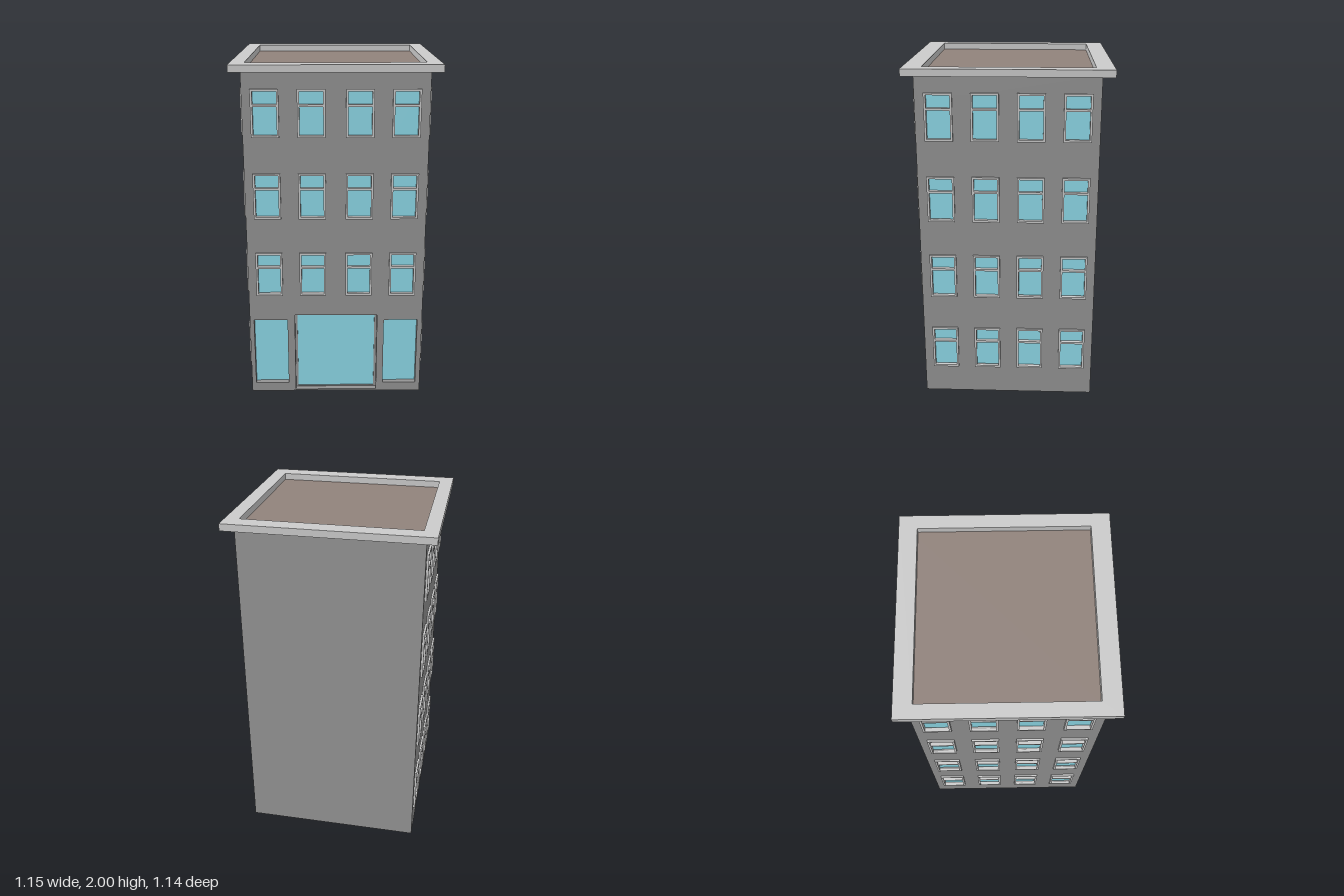
import * as THREE from 'three';

const mat = (color) => new THREE.MeshStandardMaterial({ color });
const wallMat = mat(0x949494), trimMat = mat(0xcccccc), glassMat = mat(0x8edae9), roofMat = mat(0x91837c);

// Rectangles are [x0, y0, x1, y1]
function trace(path, [x0, y0, x1, y1]) {
  path.moveTo(x0, y0);
  path.lineTo(x1, y0);
  path.lineTo(x1, y1);
  path.lineTo(x0, y1);
  path.closePath();
  return path;
}

// Flat panel with rectangular openings, from z0 to z1
function panel(name, rect, holes, z0, z1, material) {
  const shape = trace(new THREE.Shape(), rect);
  for (const h of holes) shape.holes.push(trace(new THREE.Path(), h));
  const geo = new THREE.ExtrudeGeometry(shape, { depth: z1 - z0, bevelEnabled: false });
  geo.translate(0, 0, z0);
  const mesh = new THREE.Mesh(geo, material);
  mesh.name = name;
  return mesh;
}

const W = 0.155, H = 0.268, BAR = 0.012;
const floors = [0.307, 0.781, 1.257, 1.73];

const opening = (x, y) =>
  [x - W / 2 + BAR, y - H / 2 + BAR, x + W / 2 - BAR, y + H / 2 - BAR];

// Framed window with a transom; the wall face lies at z = 0
function makeWindow(x, y) {
  const g = new THREE.Group();
  g.name = 'window';
  const [x0, y0, x1, y1] = opening(0, 0);
  const split = y1 - 0.072;
  g.add(panel('windowFrame', [-W / 2, -H / 2, W / 2, H / 2],
    [[x0, y0, x1, split - BAR], [x0, split, x1, y1]], -0.01, 0.012, trimMat));
  g.add(panel('windowPane', [x0, y0, x1, y1], [], -0.017, -0.012, glassMat));
  g.position.set(x, y, 0);
  return g;
}

// Wall facing +z with a grid of windows and any further openings
function makeWall(name, rect, columns, rows, extraHoles, thickness) {
  const g = new THREE.Group();
  g.name = name;
  const holes = [...extraHoles];
  for (const y of rows) for (const x of columns) {
    holes.push(opening(x, y));
    g.add(makeWindow(x, y));
  }
  g.add(panel(name + 'Panel', rect, holes, -thickness, 0, wallMat));
  return g;
}

export function createModel() {
  const model = new THREE.Group();
  model.name = 'building';

  // Solid core and back wall
  const core = new THREE.Mesh(new THREE.BoxGeometry(0.99, 1.95, 0.97), wallMat);
  core.name = 'core';
  core.position.set(0, 0.975, -0.02);
  model.add(core);

  // Front wall with shop windows and entrance
  const door = [-0.246, 0.01, 0.246, 0.515];
  const shops = [[-0.49, 0.055, -0.29, 0.482], [0.287, 0.055, 0.487, 0.482]];
  const front = makeWall('frontWall', [-0.495, 0, 0.495, 1.96],
    [-0.39, -0.135, 0.133, 0.388], floors.slice(1), [door, ...shops], 0.045);
  for (const s of shops) front.add(panel('shopWindow', s, [], -0.044, -0.033, glassMat));
  const doorGlass = [-0.232, 0.016, 0.232, 0.497];
  front.add(panel('entranceFrame', door, [doorGlass], -0.045, -0.034, wallMat));
  front.add(panel('entranceGlass', doorGlass, [], -0.045, -0.041, glassMat));
  front.position.z = 0.51;
  model.add(front);

  // Side walls
  for (const side of [-1, 1]) {
    const wall = makeWall(side > 0 ? 'leftWall' : 'rightWall',
      side > 0 ? [-0.51, 0, 0.505, 1.96] : [-0.505, 0, 0.51, 1.96],
      [-0.381, -0.127, 0.127, 0.381], floors, [], 0.02);
    wall.rotation.y = side * Math.PI / 2;
    wall.position.x = side * 0.515;
    model.add(wall);
  }

  // Back strip closing the wall top, flat roof and overhanging cornice
  const roof = new THREE.Mesh(new THREE.BoxGeometry(0.99, 0.012, 0.97), roofMat);
  roof.name = 'roof';
  roof.position.set(0, 1.956, -0.02);
  model.add(roof);
  const cornice = panel('cornice', [-0.575, -0.57, 0.575, 0.57],
    [[-0.495, -0.465, 0.495, 0.47]], 0, 0.04, trimMat);
  cornice.rotation.x = -Math.PI / 2;
  cornice.position.y = 1.96;
  model.add(cornice);
  const backStrip = new THREE.Mesh(new THREE.BoxGeometry(0.99, 0.01, 0.034), wallMat);
  backStrip.name = 'backStrip';
  backStrip.position.set(0, 1.955, -0.489);
  model.add(backStrip);

  return model;
}
